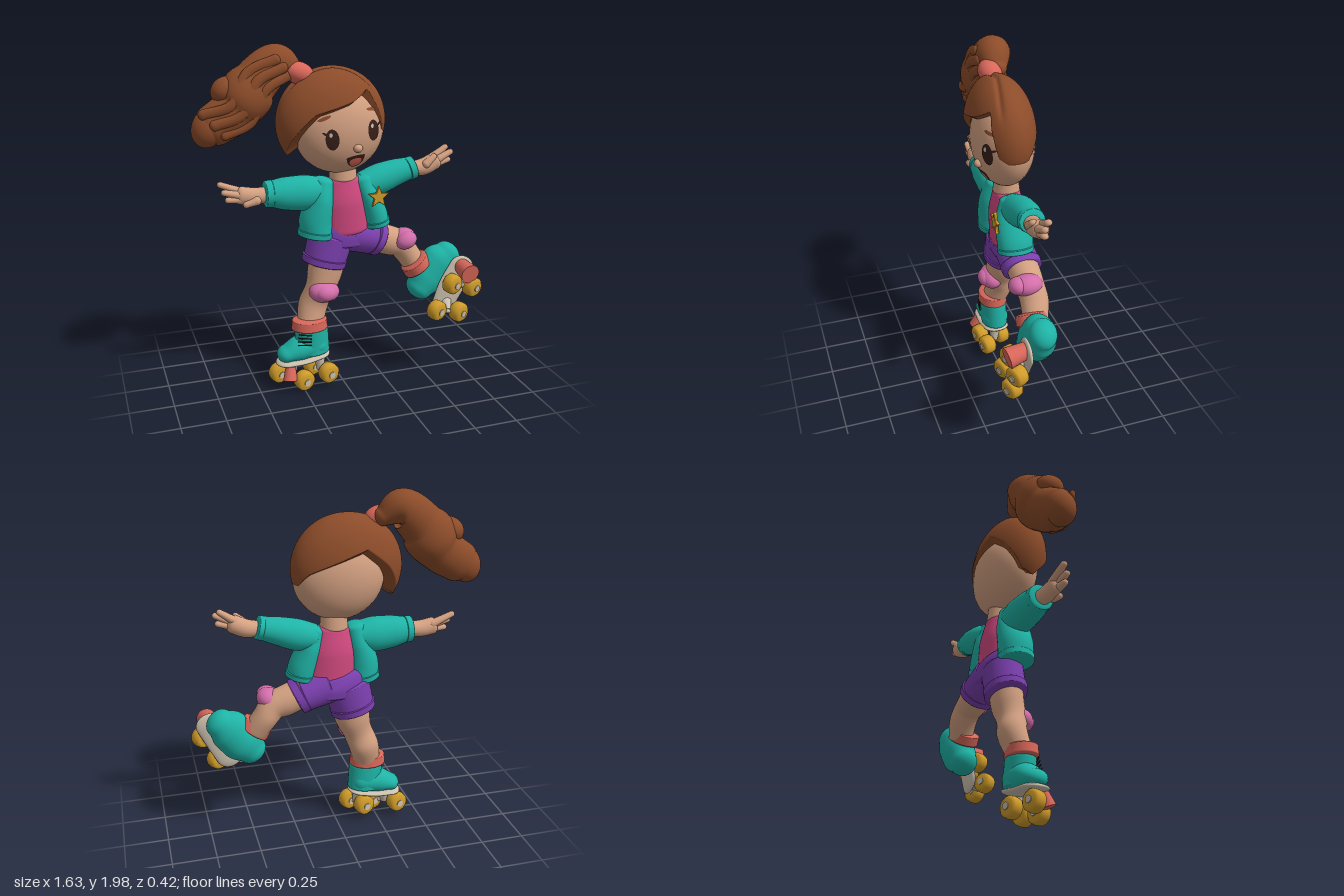
import * as THREE from 'three';
import { mergeVertices } from 'three/addons/utils/BufferGeometryUtils.js';
import { ParametricGeometry } from 'three/addons/geometries/ParametricGeometry.js';

const paint = (name, color) => Object.assign(new THREE.MeshStandardMaterial({ color }), { name });
const SKIN = paint('skin', 0xd3a081), HAIR = paint('hair brown', 0x8c4c2a), TEAL = paint('teal', 0x1fb3a6),
  PINK = paint('shirt pink', 0xd0497f), PURPLE = paint('purple', 0x7b3fae), PAD = paint('pad pink', 0xd46fab),
  CORAL = paint('coral', 0xd9675a), CREAM = paint('cream', 0xcbc0ae), GOLD = paint('gold', 0xd09c2a),
  DARK = paint('dark brown', 0x38201a);
const V = (x, y, z) => new THREE.Vector3(x, y, z);

export function createModel() {
  const model = new THREE.Group();
  model.name = 'rollerSkater';

  const add = (name, geo, mat) => {
    const m = new THREE.Mesh(geo, mat);
    m.name = name;
    model.add(m);
    return m;
  };
  const smooth = (g) => {
    g.deleteAttribute('normal');
    g.deleteAttribute('uv');
    g = mergeVertices(g);
    g.computeVertexNormals();
    return g;
  };
  // Rounded sweep through rows of [x, y, z, radius across, radius in z]
  const limb = (name, mat, rows, round = 0.6, stacks = 36, sides = 28) => {
    const path = new THREE.CatmullRomCurve3(rows.map((r) => V(r[0], r[1], r[2])));
    const rad = new THREE.CatmullRomCurve3(rows.map((r) => V(r[3], r[4], 0)));
    const e = 0.16;
    const geo = new ParametricGeometry((u, v, out) => {
      const t = Math.min(1, Math.max(0, (v - e) / (1 - 2 * e)));
      const p = path.getPoint(t), d = path.getTangent(t), r = rad.getPoint(t);
      const s = v < e ? 1 - v / e : v > 1 - e ? (v - 1 + e) / e : 0;
      const k = s > 0.999 ? 0 : Math.cos(s * Math.PI / 2);
      const push = Math.sin(s * Math.PI / 2) * Math.max(r.x, r.y) * round * (v < 0.5 ? -1 : 1);
      const n = V(-d.y, d.x, 0).normalize(), a = u * Math.PI * 2;
      out.copy(p).addScaledVector(d, push).addScaledVector(n, r.x * k * Math.cos(a));
      out.z += r.y * k * Math.sin(a);
    }, sides, stacks);
    return add(name, smooth(geo), mat);
  };
  const ball = (name, mat, x, y, z, rx, ry, rz, tilt = 0) => {
    const m = add(name, new THREE.SphereGeometry(1, 32, 24), mat);
    m.position.set(x, y, z);
    m.scale.set(rx, ry, rz);
    m.rotation.z = tilt;
    return m;
  };
  const aim = (m, at, axis) => {
    m.position.copy(at);
    m.quaternion.setFromUnitVectors(V(0, 1, 0), axis.clone().normalize());
  };
  const rod = (name, mat, a, b, r, r2 = r) => {
    const d = b.clone().sub(a);
    aim(add(name, new THREE.CylinderGeometry(r2, r, d.length(), 20), mat), a.clone().lerp(b, 0.5), d);
  };

  // Head, nose and neck
  const H = { x: -0.015, y: 1.53, z: -0.025, rx: 0.257, ry: 0.25, rz: 0.165 };
  ball('head', SKIN, H.x, H.y, H.z, H.rx, H.ry, H.rz);
  ball('nose', SKIN, 0.045, 1.44, 0.128, 0.026, 0.023, 0.024);
  limb('neck', SKIN, [[0.015, 1.36, -0.04, 0.07, 0.06], [0.015, 1.24, -0.04, 0.08, 0.075]], 0.3);

  // Painted face: discs laid on the curve of the head
  const patch = (name, mat, cx, cy, rx, ry, tilt, lift, flatTop = 1) => {
    const g = new THREE.RingGeometry(0.001, 1, 32, 6), p = g.attributes.position;
    for (let i = 0; i < p.count; i++) {
      const a = p.getX(i) * rx, b = p.getY(i) * ry * (p.getY(i) > 0 ? flatTop : 1);
      const x = cx + a * Math.cos(tilt) - b * Math.sin(tilt), y = cy + a * Math.sin(tilt) + b * Math.cos(tilt);
      const q = 1 - ((x - H.x) / H.rx) ** 2 - ((y - H.y) / H.ry) ** 2;
      p.setXYZ(i, x, y, H.z + H.rz * Math.sqrt(Math.max(0, q)) + lift);
    }
    g.computeVertexNormals();
    add(name, g, mat);
  };
  for (const [x, y, s] of [[-0.1, 1.495, -1], [0.14, 1.53, 1]]) {
    patch('eye', DARK, x, y, 0.036, 0.058, 0.12, 0.004);
    patch('eyeShine', CREAM, x - 0.01, y + 0.026, 0.009, 0.012, 0, 0.007);
    patch('eyelash', DARK, x + s * 0.036, y + 0.03, 0.02, 0.006, s * 0.5, 0.005);
    patch('eyebrow', HAIR, x + (s < 0 ? -0.04 : -0.005), y + 0.113, 0.038, 0.009, s < 0 ? 0.4 : -0.1, 0.005);
  }
  patch('mouth', DARK, 0.04, 1.39, 0.055, 0.062, 0.12, 0.004, 0.15);
  patch('tongue', CORAL, 0.041, 1.366, 0.036, 0.034, 0.12, 0.007, 0.5);

  // Hair cap: a shell whose lower edge follows [azimuth, latitude] in degrees
  const line = [[-180, 20], [-165, 25], [-140, 5], [-110, -30], [-85, -36], [-65, -22], [-51, -11], [-26, 12],
    [15, 24], [44, 38], [48, 20], [60, -8], [75, -14], [110, -14], [130, 0], [180, 20]];
  const hairline = (az) => {
    const i = Math.max(1, line.findIndex((p) => p[0] >= az - 1e-6));
    const [a, b] = [line[i - 1], line[i]];
    return THREE.MathUtils.mapLinear(az, a[0], b[0], a[1], b[1]);
  };
  const cap = new ParametricGeometry((u, v, out) => {
    const az = 180 - 360 * u, a = az * Math.PI / 180;
    const th = Math.min(1, v / 0.86) * (90 - hairline(az)) * Math.PI / 180;
    const y = Math.cos(th), z = Math.sin(th) * Math.cos(a), x = Math.sin(th) * Math.sin(a);
    const part = 0.045 * Math.exp(-(((z - 0.1 - 0.35 * Math.max(0, x)) / 0.08) ** 2)) * THREE.MathUtils.smoothstep(y, 0.4, 0.8);
    const r = 1 - part - (v > 0.86 ? 0.25 * ((v - 0.86) / 0.14) ** 1.5 : 0);
    out.set(-0.06 + 0.31 * x * r, 1.57 + 0.3 * y * r, -0.025 + 0.182 * z * r);
  }, 120, 44);
  add('hairCap', smooth(cap), HAIR);

  // Ponytail with raised wavy strands on both faces
  const tail = [[-0.24, 1.84, -0.07, 0.05, 0.06], [-0.34, 1.885, -0.085, 0.105, 0.1], [-0.46, 1.79, -0.085, 0.125, 0.11],
    [-0.57, 1.65, -0.085, 0.125, 0.11], [-0.69, 1.57, -0.085, 0.115, 0.09]];
  limb('ponytail', HAIR, tail, 0.75, 48, 36);
  ball('tailCurlUpper', HAIR, -0.62, 1.755, -0.085, 0.085, 0.07, 0.08, 0.5);
  ball('tailCurlLower', HAIR, -0.72, 1.56, -0.085, 0.09, 0.11, 0.085, -0.4);
  for (const off of [-0.07, 0, 0.07]) {
    const strand = tail.slice(1).map(([x, y, z, r, rz], i) => {
      const o = off * (0.8 + 0.1 * i) + (i % 2 ? 0.018 : -0.018);
      return [x - o * 0.7, y + o * 0.7, z + rz * Math.sqrt(1 - (o / 0.13) ** 2) - 0.008, 0.03, 0.02];
    });
    limb('tailStrand', HAIR, strand, 0.8, 30, 14);
  }
  ball('hairTie', CORAL, -0.235, 1.835, -0.03, 0.082, 0.06, 0.065, -0.3);

  // Shirt and open jacket
  limb('shirt', PINK, [[0.02, 1.23, -0.04, 0.1, 0.075], [0.025, 1.1, -0.042, 0.14, 0.1], [0.035, 0.94, -0.045, 0.15, 0.1]], 0.3);
  limb('jacketRight', TEAL, [[-0.105, 1.235, -0.035, 0.06, 0.07], [-0.125, 1.13, -0.03, 0.075, 0.1],
    [-0.15, 1.01, -0.03, 0.095, 0.102], [-0.15, 0.94, -0.03, 0.095, 0.1]], 0.35);
  limb('jacketLeft', TEAL, [[0.125, 1.235, -0.035, 0.06, 0.07], [0.155, 1.13, -0.03, 0.068, 0.1],
    [0.195, 1.02, -0.03, 0.078, 0.102], [0.205, 0.98, -0.03, 0.078, 0.1]], 0.35);
  limb('jacketHemRight', TEAL, [[-0.15, 0.95, -0.03, 0.102, 0.105], [-0.155, 0.92, -0.03, 0.1, 0.102]], 0.12);
  limb('jacketHemLeft', TEAL, [[0.205, 0.985, -0.03, 0.082, 0.105], [0.21, 0.96, -0.03, 0.082, 0.102]], 0.12);

  // Star badge
  const star = new THREE.Shape();
  for (let i = 0; i < 10; i++) {
    const a = Math.PI / 2 + i * Math.PI / 5, r = i % 2 ? 0.026 : 0.06;
    star[i ? 'lineTo' : 'moveTo'](Math.cos(a) * r, Math.sin(a) * r);
  }
  add('starBadge', new THREE.ExtrudeGeometry(star, { depth: 0.01, bevelThickness: 0.004, bevelSize: 0.003, bevelSegments: 1 }), GOLD)
    .position.set(0.185, 1.145, 0.075);

  // Sleeves and cuffs
  limb('sleeveRight', TEAL, [[-0.12, 1.18, -0.035, 0.08, 0.08], [-0.22, 1.175, -0.035, 0.1, 0.09], [-0.33, 1.18, -0.035, 0.092, 0.085],
    [-0.4, 1.185, -0.035, 0.075, 0.075]], 0.2);
  limb('cuffRight', TEAL, [[-0.4, 1.185, -0.035, 0.077, 0.078], [-0.435, 1.185, -0.035, 0.074, 0.075]], 0.12);
  limb('sleeveLeft', TEAL, [[0.13, 1.19, -0.04, 0.075, 0.08], [0.23, 1.215, -0.045, 0.088, 0.085], [0.33, 1.245, -0.045, 0.078, 0.08],
    [0.41, 1.265, -0.04, 0.065, 0.07]], 0.2);
  limb('cuffLeft', TEAL, [[0.405, 1.262, -0.035, 0.068, 0.072], [0.44, 1.272, -0.035, 0.066, 0.07]], 0.12);

  // Hands: palm, fingers and thumb
  limb('handRight', SKIN, [[-0.42, 1.185, -0.03, 0.042, 0.045], [-0.5, 1.18, -0.03, 0.048, 0.045], [-0.57, 1.19, -0.03, 0.05, 0.04]]);
  limb('handLeft', SKIN, [[0.43, 1.265, -0.03, 0.04, 0.045], [0.5, 1.27, -0.03, 0.05, 0.05], [0.57, 1.3, -0.028, 0.05, 0.045]]);
  const finger = (name, x0, y0, x1, y1, z, r) =>
    limb(name, SKIN, [[x0, y0, z, r * 1.25, r * 1.3], [(x0 + x1) / 2, (y0 + y1) / 2, z, r, r * 1.2], [x1, y1, z, r * 0.85, r]], 0.8, 20, 16);
  finger('fingerRight', -0.56, 1.205, -0.68, 1.255, -0.045, 0.02);
  finger('fingerRight', -0.56, 1.19, -0.665, 1.215, -0.02, 0.02);
  finger('fingerRight', -0.56, 1.17, -0.645, 1.172, -0.02, 0.02);
  finger('thumbRight', -0.49, 1.165, -0.55, 1.145, 0.005, 0.022);
  finger('fingerLeft', 0.56, 1.32, 0.64, 1.375, -0.04, 0.02);
  finger('fingerLeft', 0.57, 1.305, 0.662, 1.35, -0.015, 0.02);
  finger('fingerLeft', 0.57, 1.285, 0.65, 1.305, -0.02, 0.02);
  finger('thumbLeft', 0.5, 1.29, 0.55, 1.335, 0.005, 0.02);

  // Shorts
  limb('shortsHips', PURPLE, [[0.04, 0.955, -0.055, 0.2, 0.1], [0.03, 0.91, -0.06, 0.205, 0.112], [0.03, 0.86, -0.06, 0.19, 0.11]], 0.15);
  limb('shortsLegRight', PURPLE, [[-0.05, 0.9, -0.06, 0.135, 0.112], [-0.09, 0.76, -0.06, 0.125, 0.112]], 0.15);
  limb('shortsCuffRight', PURPLE, [[-0.087, 0.775, -0.06, 0.133, 0.118], [-0.096, 0.74, -0.06, 0.13, 0.116]], 0.1);
  limb('shortsLegLeft', PURPLE, [[0.06, 0.91, -0.06, 0.11, 0.11], [0.2, 0.865, -0.06, 0.1, 0.11]], 0.15);
  limb('shortsCuffLeft', PURPLE, [[0.205, 0.867, -0.06, 0.106, 0.116], [0.24, 0.85, -0.06, 0.102, 0.114]], 0.1);

  // Legs, knee pads and socks
  limb('legRight', SKIN, [[-0.07, 0.8, -0.05, 0.11, 0.09], [-0.095, 0.68, -0.05, 0.102, 0.088], [-0.13, 0.58, -0.045, 0.085, 0.08],
    [-0.16, 0.5, -0.06, 0.087, 0.08], [-0.19, 0.38, -0.035, 0.078, 0.07]], 0.2);
  limb('legLeft', SKIN, [[0.17, 0.89, -0.06, 0.085, 0.09], [0.29, 0.84, -0.06, 0.088, 0.088], [0.37, 0.81, -0.06, 0.08, 0.08],
    [0.42, 0.75, -0.065, 0.072, 0.08], [0.48, 0.66, -0.05, 0.07, 0.07]], 0.2);
  ball('kneePadRight', PAD, -0.115, 0.59, 0.01, 0.09, 0.065, 0.065, -0.1);
  ball('kneeCapRight', PAD, -0.115, 0.59, 0.045, 0.06, 0.048, 0.045, -0.1);
  ball('kneePadLeft', PAD, 0.385, 0.845, -0.035, 0.076, 0.062, 0.085, 0.4);
  ball('kneeCapLeft', PAD, 0.385, 0.85, 0.02, 0.065, 0.05, 0.052, 0.4);
  limb('sockRight', CORAL, [[-0.195, 0.415, -0.025, 0.103, 0.084], [-0.195, 0.365, -0.025, 0.107, 0.087]], 0.15);
  limb('sockLeft', CORAL, [[0.455, 0.7, -0.03, 0.088, 0.086], [0.485, 0.66, -0.03, 0.094, 0.088]], 0.15);

  // Standing boot with laces and sole
  limb('bootAnkleRight', TEAL, [[-0.185, 0.355, -0.025, 0.1, 0.078], [-0.18, 0.28, -0.028, 0.1, 0.078], [-0.175, 0.21, -0.03, 0.1, 0.078]], 0.15);
  limb('bootFootRight', TEAL, [[-0.335, 0.215, -0.03, 0.05, 0.07], [-0.25, 0.24, -0.03, 0.075, 0.08], [-0.15, 0.255, -0.03, 0.075, 0.078]], 0.8);
  for (let i = 0; i < 4; i++)
    rod('lace', DARK, V(-0.285 + i * 0.003, 0.29 + i * 0.02, 0.043 - i * 0.004), V(-0.205, 0.283 + i * 0.02, 0.054), 0.004);
  limb('soleRight', CREAM, [[-0.33, 0.165, -0.03, 0.021, 0.08], [-0.23, 0.172, -0.03, 0.021, 0.085], [-0.14, 0.188, -0.03, 0.021, 0.078]], 0.85);

  // Raised boot seen from below, with its sole toward the front
  limb('bootLeft', TEAL, [[0.49, 0.53, -0.02, 0.085, 0.08], [0.55, 0.6, -0.025, 0.12, 0.092], [0.62, 0.68, -0.022, 0.118, 0.09],
    [0.67, 0.725, -0.02, 0.085, 0.075]], 0.75);
  limb('soleLeft', CREAM, [[0.61, 0.455, 0.08, 0.075, 0.02], [0.655, 0.56, 0.085, 0.085, 0.02], [0.715, 0.67, 0.085, 0.08, 0.02]], 0.85);

  // Wheels, axles and trucks: each pair is [near wheel, far wheel, point on the sole]
  const profile = [[0, -0.04], [0.042, -0.04], [0.057, -0.026], [0.06, 0], [0.057, 0.026], [0.042, 0.04], [0, 0.04]];
  const wheelGeo = new THREE.LatheGeometry(profile.map((p) => new THREE.Vector2(...p)), 32);
  const hubGeo = new THREE.CylinderGeometry(0.02, 0.02, 0.09, 20);
  const truck = (a, b, mount, axis) => {
    for (const at of [a, b]) {
      aim(add('wheel', wheelGeo, GOLD), at, axis);
      aim(add('wheelHub', hubGeo, CREAM), at, axis);
    }
    rod('axle', CREAM, a, b, 0.014);
    rod('truck', CREAM, a.clone().lerp(b, 0.5), mount, 0.022, 0.035);
  };
  const flat = V(0.25, -0.05, 0.95), raised = V(0.4, -0.1, 0.9);
  truck(V(-0.25, 0.064, 0.042), V(-0.375, 0.085, -0.06), V(-0.3, 0.165, -0.02), flat);
  truck(V(-0.1, 0.088, 0.04), V(-0.165, 0.1, -0.068), V(-0.14, 0.18, -0.02), flat);
  truck(V(0.63, 0.595, 0.145), V(0.755, 0.565, 0.15), V(0.69, 0.59, 0.085), raised);
  truck(V(0.535, 0.44, 0.145), V(0.675, 0.415, 0.15), V(0.62, 0.46, 0.085), raised);

  // Toe stops
  rod('toeStopRight', CORAL, V(-0.325, 0.15, 0.02), V(-0.335, 0.075, 0.045), 0.03, 0.042);
  rod('toeStopLeft', CORAL, V(0.71, 0.68, 0.085), V(0.72, 0.66, 0.195), 0.045, 0.058);
  return model;
}
